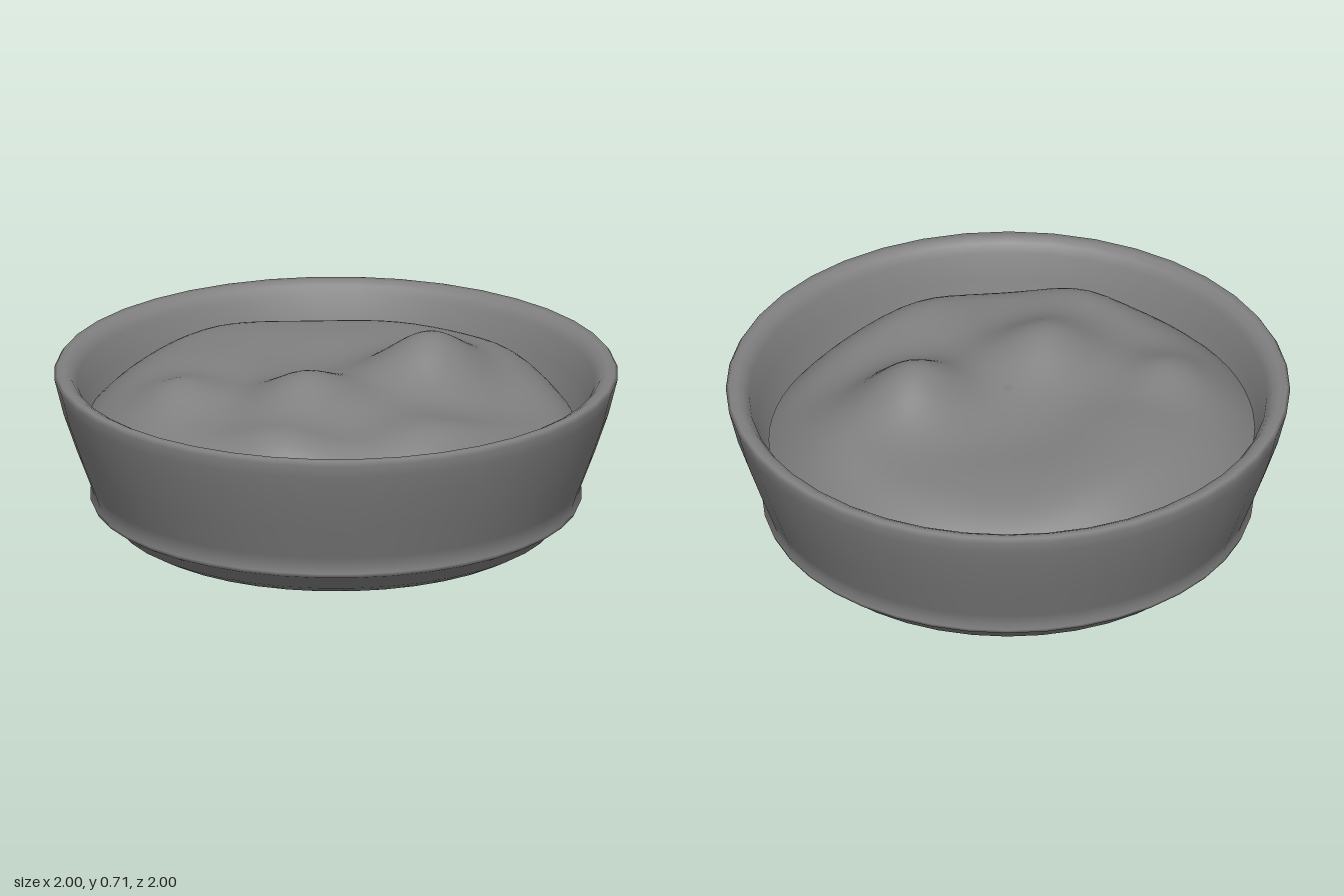
import * as THREE from 'three';

const material = new THREE.MeshStandardMaterial({ color: 0x808080 });

// Mounds on the filling: x, z, height, spread
const mounds = [
  [0.33, 0.12, 0.172, 0.145],
  [-0.24, 0.18, 0.135, 0.15],
  [0.02, 0.1, 0.04, 0.2],
  [-0.56, -0.14, 0.075, 0.11],
  [-0.33, -0.36, 0.05, 0.18],
  [-0.06, -0.6, 0.05, 0.2],
  [-0.52, 0.46, 0.06, 0.14],
  [0, 0.6, 0.05, 0.15],
  [0.45, -0.35, 0.03, 0.2],
  [0.64, 0, 0.035, 0.16],
  [0.55, 0.48, -0.05, 0.2],
  [-0.2, 0.38, -0.02, 0.12],
  [0.1, -0.25, -0.01, 0.15],
];

function fillingHeight(x, z) {
  let y = 0.53;
  for (const [mx, mz, h, s] of mounds) {
    y += h * Math.exp(-((x - mx) ** 2 + (z - mz) ** 2) / (2 * s * s));
  }
  return y;
}

// Bowl: one closed profile, up the outside, over the rim and down the inside
function makeBowl() {
  const profile = [
    [0, 0.004], [0.4, 0.008], [0.62, 0.013], [0.73, 0.025], [0.785, 0.055],
    [0.825, 0.1], [0.865, 0.122], [0.872, 0.138], [0.86, 0.155],
    [0.875, 0.2], [0.92, 0.32], [0.968, 0.46], [0.988, 0.54], [1, 0.588],
    [0.99, 0.604], [0.965, 0.603], [0.94, 0.59], [0.918, 0.56],
    [0.89, 0.47], [0.855, 0.35], [0.8, 0.2], [0.7, 0.12], [0, 0.1],
  ].map(([r, y]) => new THREE.Vector2(r, y));
  const bowl = new THREE.Mesh(new THREE.LatheGeometry(profile, 40), material);
  bowl.name = 'bowl';
  return bowl;
}

// Filling: a disc of rings raised into mounds, turning down at its edge
function makeFilling() {
  const rings = 36, segments = 72;
  const profile = [];
  for (let i = 0; i <= rings; i++) profile.push(new THREE.Vector2(1 - i / rings, 0));
  const geometry = new THREE.LatheGeometry(profile, segments);
  const pos = geometry.attributes.position;
  for (let i = 0; i < pos.count; i++) {
    const px = pos.getX(i), pz = pos.getZ(i);
    const t = Math.hypot(px, pz);
    // The edge sits lower and further in towards the front left
    const low = t > 0 ? Math.max(0, (0.4 * px + 0.92 * pz) / t) : 0;
    const radius = 0.875 - 0.035 * low;
    const x = px * radius, z = pz * radius;
    const edge = Math.max(0, (t - 0.72) / 0.28);
    const edgeY = 0.42 - 0.04 * low;
    pos.setXYZ(i, x, THREE.MathUtils.lerp(fillingHeight(x, z), edgeY, edge ** 2.4), z);
  }
  geometry.computeVertexNormals();
  // Share normals across the seam and at the centre
  const normal = geometry.attributes.normal;
  const stride = rings + 1;
  for (let j = 0; j < stride; j++) {
    const a = new THREE.Vector3().fromBufferAttribute(normal, j);
    const b = new THREE.Vector3().fromBufferAttribute(normal, segments * stride + j);
    a.add(b).normalize();
    normal.setXYZ(j, a.x, a.y, a.z);
    normal.setXYZ(segments * stride + j, a.x, a.y, a.z);
  }
  for (let s = 0; s <= segments; s++) normal.setXYZ(s * stride + rings, 0, 1, 0);
  const filling = new THREE.Mesh(geometry, material);
  filling.name = 'filling';
  return filling;
}

export function createModel() {
  const model = new THREE.Group();
  model.name = 'filledBowl';
  model.add(makeBowl(), makeFilling());
  return model;
}
